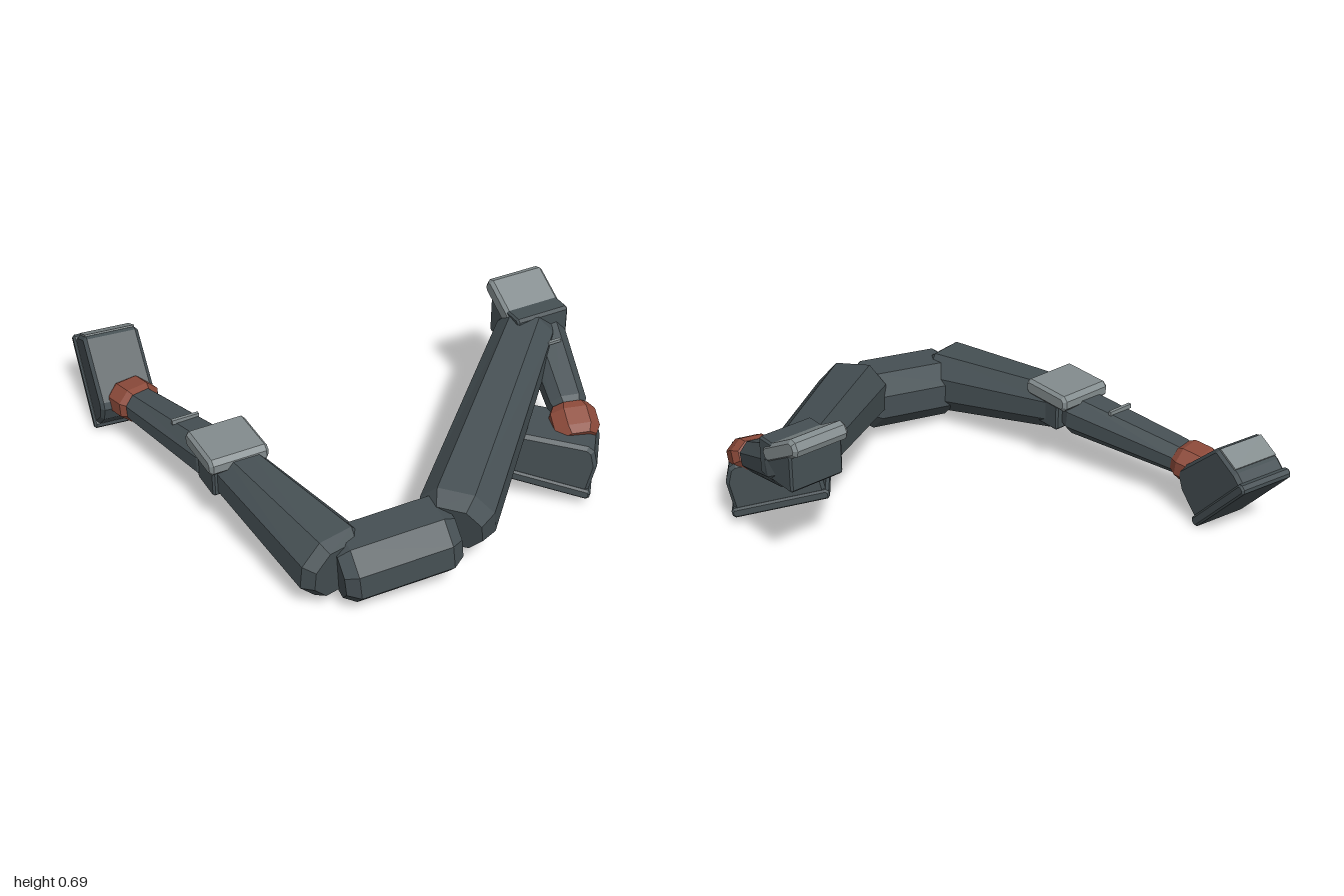
import * as THREE from 'three';

const mat = (name, color) => {
  const m = new THREE.MeshStandardMaterial({ color, flatShading: true });
  m.name = name;
  return m;
};

// Orientation whose z follows dir and whose y stays as upright as possible
function orient(dir) {
  const z = new THREE.Vector3(...dir).normalize();
  const x = new THREE.Vector3(0, 1, 0).cross(z).normalize();
  const y = z.clone().cross(x);
  return new THREE.Quaternion().setFromRotationMatrix(new THREE.Matrix4().makeBasis(x, y, z));
}

// Tapered eight-sided armour segment along z with bevelled ends
function segmentGeometry(length, [w0, h0], [w1, h1], bevel) {
  const section = [[1, -0.4], [1, 0.4], [0.5, 1], [-0.5, 1], [-1, 0.4], [-1, -0.4], [-0.5, -1], [0.5, -1]];
  const rings = [[0, 0.78], [bevel, 1], [length - bevel, 1], [length, 0.78]].map(([z, s]) => {
    const t = z / length;
    const w = (w0 + (w1 - w0) * t) * s / 2, h = (h0 + (h1 - h0) * t) * s / 2;
    return section.map(([x, y]) => [x * w, y * h, z]);
  });
  const p = [];
  for (let r = 0; r < 3; r++) {
    for (let i = 0; i < 8; i++) {
      const j = (i + 1) % 8, a = rings[r], b = rings[r + 1];
      p.push(...a[i], ...a[j], ...b[j], ...a[i], ...b[j], ...b[i]);
    }
  }
  for (let i = 1; i < 7; i++) {
    p.push(...rings[0][0], ...rings[0][i + 1], ...rings[0][i]);
    p.push(...rings[3][0], ...rings[3][i], ...rings[3][i + 1]);
  }
  const g = new THREE.BufferGeometry();
  g.setAttribute('position', new THREE.Float32BufferAttribute(p, 3));
  g.computeVertexNormals();
  return g;
}

// Prism of a side profile, bevelled, with the profile in the zy plane and its width along x
function prism(points, width, b) {
  const shape = new THREE.Shape(points.map(([x, y]) => new THREE.Vector2(x, y)));
  const g = new THREE.ExtrudeGeometry(shape, {
    depth: width - 2 * b, bevelEnabled: true, bevelSize: b, bevelThickness: b, bevelOffset: -b, bevelSegments: 1,
  });
  return g.translate(0, 0, b - width / 2).rotateY(-Math.PI / 2);
}

function bevelBox(w, h, d, b) {
  const x = d / 2, y = h / 2;
  return prism([[-x + b, -y], [x - b, -y], [x, -y + b], [x, y - b], [x - b, y], [-x + b, y], [-x, y - b], [-x, -y + b]], w, b * 0.7);
}

export function createModel() {
  const dark = mat('dark slate', 0x465054);
  const light = mat('light grey', 0x838c8e);
  const rust = mat('rust red', 0x8c4a3a);
  const root = new THREE.Group();
  root.name = 'seatedArmourLegs';

  const add = (parent, name, geometry, material, pos = [0, 0, 0]) => {
    const m = new THREE.Mesh(geometry, material);
    m.name = name;
    m.position.set(...pos);
    parent.add(m);
    return m;
  };
  const segment = (name, from, to, size0, size1, material = dark, bevel = 0.05) => {
    const d = to.map((v, i) => v - from[i]);
    const m = add(root, name, segmentGeometry(Math.hypot(...d), size0, size1, bevel), material, from);
    m.quaternion.copy(orient(d));
    return m;
  };

  // Hips
  segment('pelvis', [-0.5, 0.165, 0.785], [-0.02, 0.215, 0.845], [0.31, 0.27], [0.31, 0.27]);

  // Thighs
  segment('rightThigh', [-0.49, 0.185, 0.82], [-0.64, 0.275, 0.08], [0.32, 0.29], [0.2, 0.2]);
  segment('leftThigh', [-0.02, 0.235, 0.86], [0.79, 0.525, 0.12], [0.31, 0.29], [0.24, 0.21], dark, 0.07);

  // Knees: a dark block under a light cap
  add(root, 'rightKneeBlock', bevelBox(0.22, 0.18, 0.16, 0.012), dark, [-0.635, 0.285, 0.125]);
  add(root, 'rightKneeCap', bevelBox(0.26, 0.075, 0.26, 0.02), light, [-0.635, 0.355, 0.105]);
  add(root, 'leftKneeBlock', bevelBox(0.25, 0.17, 0.22, 0.012), dark, [0.79, 0.535, 0.11]);
  const cap = add(root, 'leftKneeCap', bevelBox(0.26, 0.075, 0.26, 0.02), light, [0.79, 0.61, 0.075]);
  cap.rotation.x = 0.52;

  // Shins, each with a small light trim strip
  segment('rightShin', [-0.64, 0.265, 0.08], [-0.775, 0.215, -0.54], [0.21, 0.19], [0.155, 0.13]);
  segment('leftShin', [0.84, 0.515, 0.1], [0.735, 0.325, 0.54], [0.19, 0.18], [0.155, 0.13]);
  add(root, 'rightShinTrim', new THREE.BoxGeometry(0.12, 0.02, 0.015), light, [-0.7, 0.335, -0.17]);
  add(root, 'leftShinTrim', new THREE.BoxGeometry(0.09, 0.012, 0.015), light, [0.778, 0.53, 0.305]);

  // Ankle cuffs
  segment('rightAnkle', [-0.76, 0.22, -0.49], [-0.79, 0.205, -0.64], [0.195, 0.155], [0.195, 0.155], rust, 0.035);
  segment('leftAnkle', [0.741, 0.345, 0.52], [0.708, 0.275, 0.645], [0.195, 0.14], [0.195, 0.14], rust, 0.035);

  // Boots: body, sole slab and light toe band, facing along the toe direction
  const boot = (name, pos, toe) => {
    const g = new THREE.Group();
    g.name = name;
    g.position.set(...pos);
    g.quaternion.copy(orient(toe));
    root.add(g);
    add(g, name + 'Body', prism([[-0.2, 0.03], [0.2, 0.03], [0.2, 0.09], [0.165, 0.215],
      [0.15, 0.225], [-0.14, 0.25], [-0.17, 0.235], [-0.2, 0.17]], 0.245, 0.015), dark);
    add(g, name + 'Sole', bevelBox(0.265, 0.045, 0.425, 0.012), dark, [0, 0.0225, 0]);
    const band = add(g, name + 'ToeBand', new THREE.BoxGeometry(0.22, 0.11, 0.009), light, [0, 0.16, 0.183]);
    band.rotation.x = -0.273;
  };
  boot('rightBoot', [-0.77, 0.155, -0.85], [0.07, 0.74, -0.67]);
  boot('leftBoot', [0.607, 0.085, 0.54], [-0.78, 0.21, -0.59]);

  return root;
}
